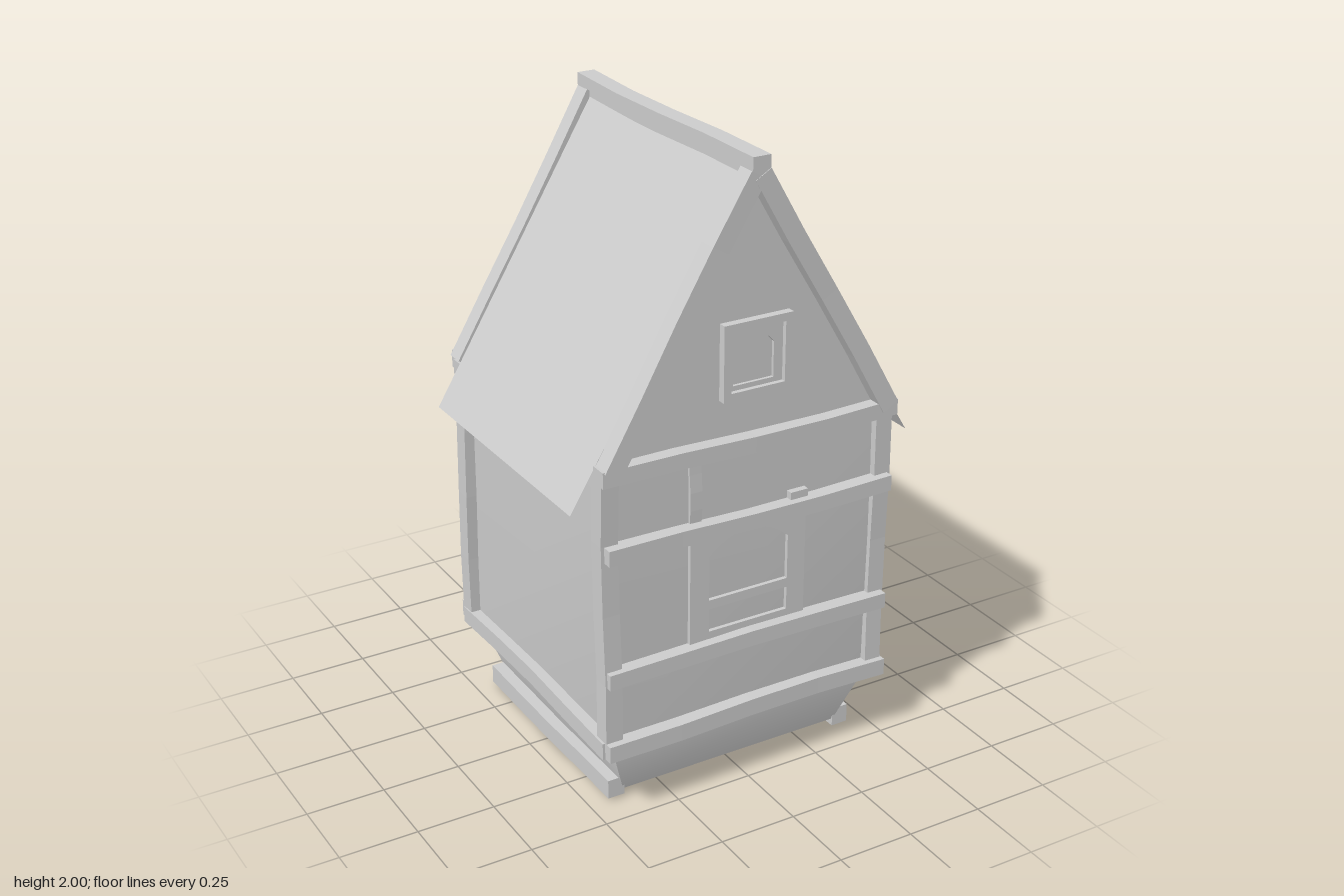
import * as THREE from 'three';

const grey = new THREE.MeshStandardMaterial({ color: 0xcccccc, flatShading: true });
const thin = new THREE.MeshStandardMaterial({ color: 0xcccccc, side: THREE.DoubleSide });

export function createModel() {
  const model = new THREE.Group();
  const add = (name, geometry, material = grey) => {
    const mesh = new THREE.Mesh(geometry, material);
    mesh.name = name;
    model.add(mesh);
    return mesh;
  };

  // Slightly crooked timber from a to b; w is its width, h its height
  let count = 0;
  const beam = (name, a, b, w, h, wobble = 0.005) => {
    const from = new THREE.Vector3(...a), to = new THREE.Vector3(...b);
    const length = from.distanceTo(to), phase = ++count * 1.7;
    const g = new THREE.BoxGeometry(w, h, length, 1, 1, 4);
    const p = g.attributes.position;
    for (let i = 0; i < p.count; i++) {
      const t = p.getZ(i) / length;
      p.setX(i, p.getX(i) + wobble * 0.6 * Math.sin(t * 5 + phase));
      p.setY(i, p.getY(i) + wobble * Math.sin(t * 6 + phase * 2));
    }
    g.computeVertexNormals();
    const mesh = add(name, g);
    mesh.position.copy(from).add(to).multiplyScalar(0.5);
    mesh.lookAt(to);
  };

  // Open sheet through rows of [left point, right point]
  const sheet = (name, rows) => {
    const index = [];
    for (let i = 0; i < rows.length - 1; i++) {
      const k = i * 2;
      index.push(k, k + 1, k + 3, k, k + 3, k + 2);
    }
    const g = new THREE.BufferGeometry();
    g.setAttribute('position', new THREE.Float32BufferAttribute(rows.flat(2), 3));
    g.setIndex(index);
    g.computeVertexNormals();
    add(name, g, thin);
  };

  // Walls with tapering skirt, open below; each level is y, half width, front z, back z
  const levels = [[0.03, 0.385, 0.395, -0.375], [0.24, 0.46, 0.465, -0.445], [1.15, 0.46, 0.465, -0.445]];
  const gable = [1.91, 0.005, 0.465, -0.445];
  sheet('frontWall', [...levels, gable].map(([y, w, f]) => [[-w, y, f], [w, y, f]]));
  sheet('backWall', [...levels, gable].map(([y, w, , b]) => [[w, y, b], [-w, y, b]]));
  sheet('leftWall', levels.map(([y, w, f, b]) => [[w, y, f], [w, y, b]]));
  sheet('rightWall', levels.map(([y, w, f, b]) => [[-w, y, b], [-w, y, f]]));

  // Roof slopes
  sheet('leftRoof', [[[0.575, 1.03, 0.45], [0.575, 1.03, -0.41]], [[0.02, 1.95, 0.45], [0.02, 1.95, -0.41]]]);
  sheet('rightRoof', [[[-0.575, 1.03, -0.41], [-0.575, 1.03, 0.45]], [[-0.02, 1.95, -0.41], [-0.02, 1.95, 0.45]]]);
  beam('ridgeBeam', [0, 1.965, 0.508], [0, 1.965, -0.488], 0.058, 0.06);

  for (const s of [-1, 1]) {
    const side = s > 0 ? 'left' : 'right';
    // Corner posts and gable rafters
    beam(side + 'FrontPost', [s * 0.465, 0.24, 0.457], [s * 0.465, 1.15, 0.457], 0.056, 0.056);
    beam(side + 'BackPost', [s * 0.465, 0.24, -0.44], [s * 0.465, 1.15, -0.44], 0.056, 0.056);
    beam(side + 'FrontRafter', [s * 0.472, 1.15, 0.48], [s * 0.008, 1.945, 0.48], 0.058, 0.058, 0.003);
    beam(side + 'BackRafter', [s * 0.472, 1.15, -0.443], [s * 0.008, 1.945, -0.443], 0.058, 0.058, 0.003);
    // Side sills and ground skids
    beam(side + 'Sill', [s * 0.468, 0.25, 0.48], [s * 0.468, 0.25, -0.465], 0.055, 0.055);
    beam(side + 'Skid', [s * 0.41, 0.04, 0.4], [s * 0.41, 0.04, -0.38], 0.056, 0.062);
  }

  // Horizontal timbers across front and back
  beam('frontTopBeam', [-0.5, 1.14, 0.48], [0.5, 1.14, 0.48], 0.056, 0.05);
  beam('frontSill', [-0.49, 0.25, 0.48], [0.495, 0.25, 0.48], 0.056, 0.055);
  beam('upperRail', [-0.485, 0.892, 0.487], [0.485, 0.892, 0.487], 0.046, 0.05);
  beam('lowerRail', [-0.485, 0.494, 0.487], [0.485, 0.494, 0.487], 0.046, 0.05);
  beam('backTopBeam', [0.48, 1.135, -0.478], [-0.48, 1.135, -0.478], 0.058, 0.058);
  beam('backSill', [0.48, 0.25, -0.478], [-0.48, 0.25, -0.478], 0.058, 0.055);
  beam('upperStud', [-0.18, 0.9, 0.462], [-0.18, 1.13, 0.462], 0.04, 0.024, 0.002);
  beam('smallLedge', [0.14, 0.925, 0.474], [0.2, 0.925, 0.474], 0.024, 0.025, 0);

  // Raised plates with openings
  const outline = (path, x0, x1, y0, y1, rise = 0) => {
    path.moveTo(x0, y0).lineTo(x1, y0).lineTo(x1, y1);
    if (rise) path.quadraticCurveTo((x0 + x1) / 2, y1 + rise * 2, x0, y1);
    else path.lineTo(x0, y1);
    path.closePath();
    return path;
  };
  const plate = (name, edge, holes, z, depth) => {
    const shape = outline(new THREE.Shape(), ...edge);
    for (const h of holes) shape.holes.push(outline(new THREE.Path(), ...h));
    const g = new THREE.ExtrudeGeometry(shape, { depth, bevelEnabled: false, curveSegments: 8 });
    add(name, g.translate(0, 0, z));
  };
  const lowWindow = [-0.135, 0.138, 0.65, 0.795, 0.06];
  plate('windowPanel', [-0.2, 0.2, 0.51, 0.88], [lowWindow, [-0.135, 0.138, 0.545, 0.62]], 0.46, 0.018);
  plate('gableWindowFrame', [-0.1, 0.13, 1.28, 1.515], [[-0.075, 0.105, 1.305, 1.49]], 0.46, 0.03);
  plate('gableWindowPanel', [-0.08, 0.11, 1.3, 1.495], [[-0.06, 0.075, 1.32, 1.43, 0.042]], 0.46, 0.015);

  return model;
}
